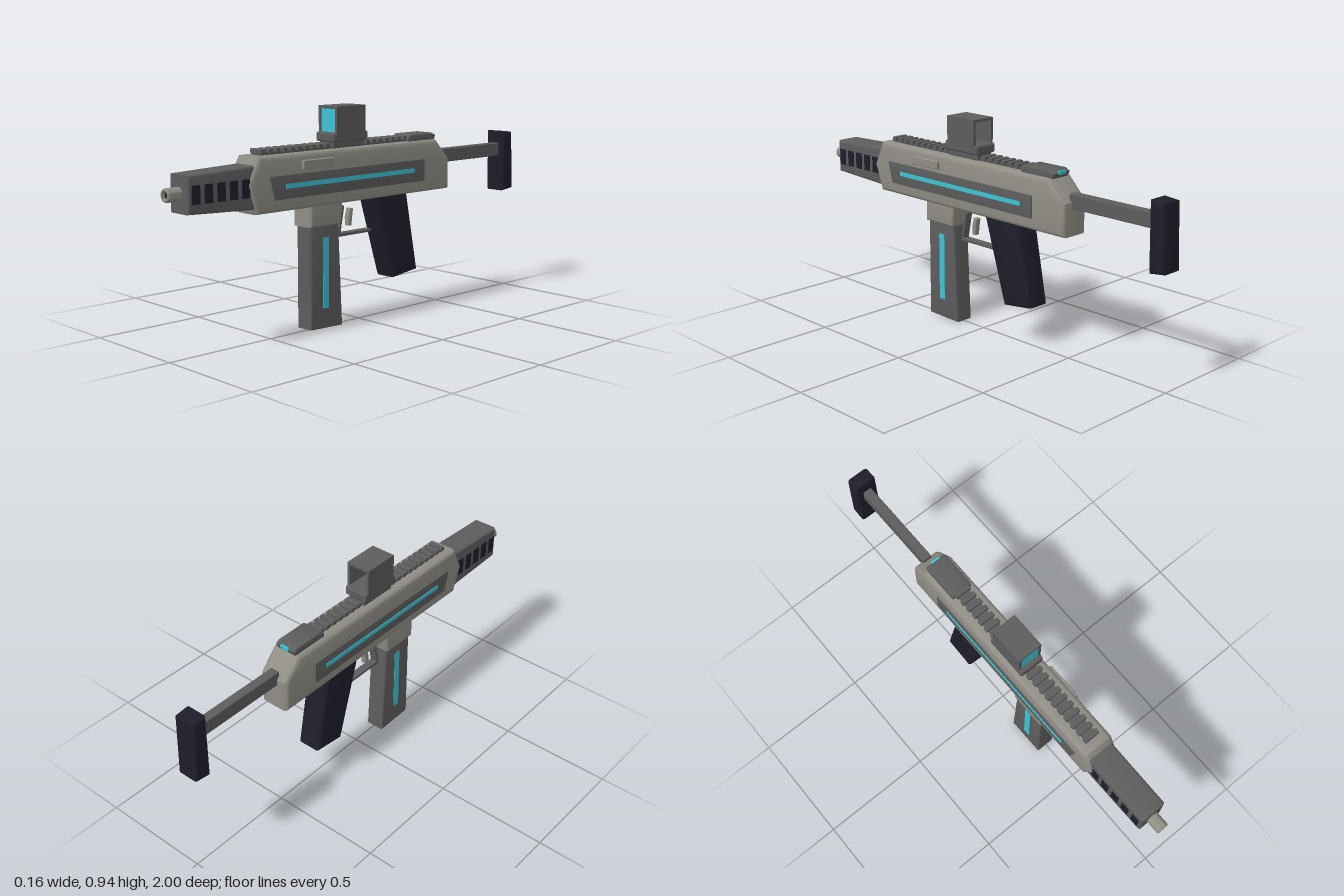
import * as THREE from 'three';
import { toCreasedNormals } from 'three/addons/utils/BufferGeometryUtils.js';
import { RoundedBoxGeometry } from 'three/addons/geometries/RoundedBoxGeometry.js';

const material = (name, color) => Object.assign(new THREE.MeshStandardMaterial({ color }), { name });

export function createModel() {
  const light = material('light grey', 0x8f8d84);
  const grey = material('dark grey', 0x5d5d5d);
  const navy = material('navy black', 0x1e1e2b);
  const cyan = material('cyan', 0x3cc4d4);
  const model = new THREE.Group();
  model.name = 'blaster';

  const add = (name, geometry, mat, x = 0, y = 0, z = 0) => {
    const mesh = new THREE.Mesh(geometry, mat);
    mesh.name = name;
    mesh.position.set(x - 0.005, y, z);
    model.add(mesh);
    return mesh;
  };

  // Side outline of [z, y] points, extruded across x with rounded edges
  const slab = (points, half, bevel) => {
    const shape = new THREE.Shape(points.map(([z, y]) => new THREE.Vector2(z, y)));
    const geometry = new THREE.ExtrudeGeometry(shape, {
      depth: 2 * (half - bevel), bevelEnabled: bevel > 0, bevelThickness: bevel,
      bevelSize: bevel, bevelOffset: -bevel, bevelSegments: 3,
    });
    geometry.translate(0, 0, bevel - half).rotateY(-Math.PI / 2);
    return toCreasedNormals(geometry, 0.65);
  };

  // Box given by its ranges in y and z
  const block = (name, mat, half, y0, y1, z0, z1, radius = 0, x = 0) => {
    const size = [2 * half, y1 - y0, z1 - z0];
    const geometry = radius ? new RoundedBoxGeometry(...size, 2, radius) : new THREE.BoxGeometry(...size);
    return add(name, geometry, mat, x, (y0 + y1) / 2, (z0 + z1) / 2);
  };

  // Receiver
  add('receiver', slab([[0.61, 0.533], [0.655, 0.655], [0.6, 0.764], [-0.43, 0.764],
    [-0.515, 0.675], [-0.515, 0.533]], 0.071, 0.02), light);
  block('sidePort', light, 0.01, 0.698, 0.735, 0.21, 0.38, 0.004, 0.075);

  // Handguard and barrel
  add('handguard', slab([[0.6, 0.554], [0.6, 0.732], [0.935, 0.72], [0.935, 0.569]], 0.06, 0.012), grey);
  const profile = [[0.018, 0.9], [0.018, 1], [0.025, 1], [0.028, 0.996], [0.028, 0.9]];
  const barrel = new THREE.LatheGeometry(profile.map(([r, h]) => new THREE.Vector2(r, h)).reverse(), 24);
  add('barrel', toCreasedNormals(barrel.rotateX(Math.PI / 2), 0.6), light, 0, 0.645).material.side = THREE.DoubleSide;
  add('bore', new THREE.CircleGeometry(0.018, 24), navy, 0, 0.645, 0.985);

  // Details repeated on both sides
  for (const side of [-1, 1]) {
    for (let i = 0; i < 5; i++) {
      const z = 0.66 + i * 0.06;
      block('vent', navy, 0.004, 0.607, 0.681, z - 0.019, z + 0.019, 0, side * 0.06);
    }
    add('sidePanel', slab([[0.525, 0.585], [0.55, 0.682], [-0.345, 0.682], [-0.345, 0.585]], 0.004, 0.001),
      grey, side * 0.071);
    block('sideLight', cyan, 0.003, 0.627, 0.646, -0.28, 0.468, 0, side * 0.0745);
    block('magazineLight', cyan, 0.003, 0.09, 0.395, 0.21, 0.243, 0, side * 0.0425);
  }

  // Magazine well and magazine
  add('magazineWell', slab([[0.318, 0.445], [0.318, 0.56], [0.135, 0.56], [0.148, 0.445]], 0.056, 0.01), light);
  add('magazine', slab([[0.31, 0.005], [0.31, 0.46], [0.152, 0.46], [0.13, 0]], 0.044, 0.007), grey);

  // Grip, trigger and guard
  add('grip', slab([[-0.05, 0.56], [-0.248, 0.56], [-0.322, 0.182], [-0.172, 0.163]], 0.057, 0.014), navy);
  block('guardBar', grey, 0.018, 0.38, 0.394, -0.065, 0.125, 0.003);
  block('guardPost', grey, 0.018, 0.38, 0.515, 0.106, 0.119, 0.003).rotation.x = -0.19;
  add('trigger', slab([[0.063, 0.42], [0.066, 0.455], [0.056, 0.497], [0.037, 0.494],
    [0.043, 0.455], [0.047, 0.42]], 0.013, 0.003), light);

  // Top rail with teeth
  block('railBase', grey, 0.027, 0.755, 0.776, -0.3, 0.56);
  for (let z = 0.55; z > -0.27; z -= 0.0385) {
    block('railTooth', grey, 0.036, 0.768, 0.789, z - 0.011, z + 0.011, 0.003);
  }

  // Rear cover with its indicator
  add('rearCover', slab([[-0.262, 0.755], [-0.262, 0.782], [-0.28, 0.794], [-0.42, 0.794],
    [-0.442, 0.782], [-0.43, 0.755]], 0.05, 0.005), grey);
  block('rearIndicator', cyan, 0.02, 0.776, 0.79, -0.446, -0.436);

  // Sight: mount, open hood and lens
  block('sightFoot', grey, 0.042, 0.765, 0.8, 0.0, 0.18, 0.004);
  block('sightMount', grey, 0.057, 0.79, 0.832, -0.01, 0.19, 0.01);
  const rectangle = (Type, x, y0, y1) => new Type([[-x, y0], [x, y0], [x, y1], [-x, y1]]
    .map(([a, b]) => new THREE.Vector2(a, b)));
  const hood = rectangle(THREE.Shape, 0.057, 0.82, 0.941);
  hood.holes.push(rectangle(THREE.Path, 0.045, 0.831, 0.929));
  add('sightHood', new THREE.ExtrudeGeometry(hood, { depth: 0.164, bevelEnabled: false }), grey, 0, 0, 0.008);
  block('sightLens', cyan, 0.046, 0.83, 0.93, 0.16, 0.168);

  // Stock
  block('stockTube', grey, 0.021, 0.648, 0.71, -0.94, -0.5, 0.004);
  add('buttPlate', slab([[-0.922, 0.768], [-0.988, 0.762], [-1, 0.488], [-0.928, 0.479]], 0.052, 0.012), navy);

  return model;
}
